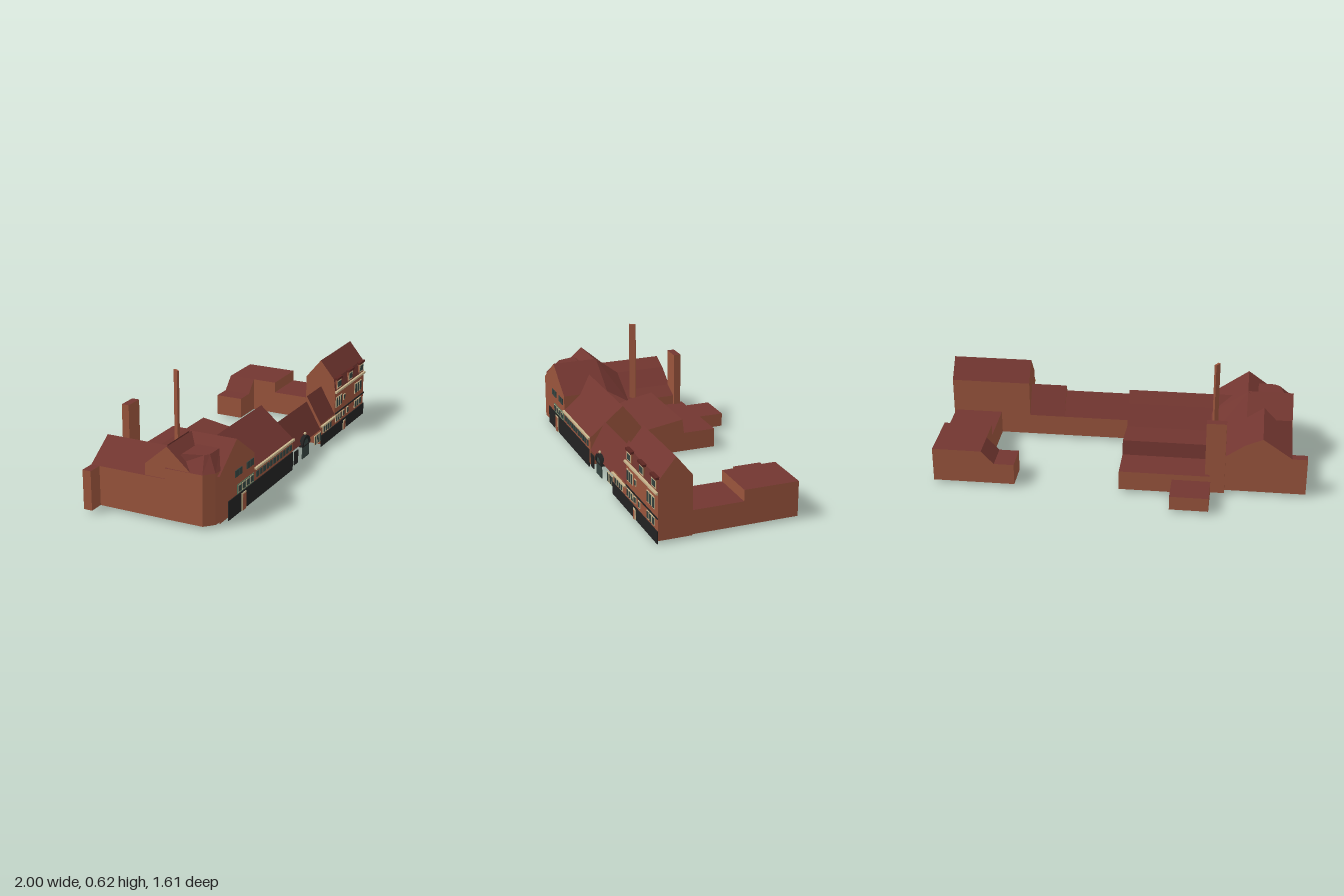
import * as THREE from 'three';

const mat = (name, color) => {
  const m = new THREE.MeshStandardMaterial({ color, side: THREE.DoubleSide });
  m.name = name;
  return m;
};

export function createModel() {
  const brick = mat('brick', 0x99543c), roof = mat('roof tile', 0x723630);
  const black = mat('black plinth', 0x222222), cream = mat('cream trim', 0xc8b48c);
  const green = mat('green frame', 0x54785f), glass = mat('dark glass', 0x35433f);
  const darkRed = mat('dark red trim', 0x5c2622);

  const model = new THREE.Group();
  model.name = 'factoryComplex';
  // Everything is laid out parallel to the street front, then turned
  const site = new THREE.Group();
  site.name = 'site';
  site.rotation.y = 0.59;
  model.add(site);

  const FRONT = 0.385, BASE = 0.015;

  const add = (name, geo, material, parent = site) => {
    const m = new THREE.Mesh(geo, material);
    m.name = name;
    parent.add(m);
    return m;
  };
  const box = (name, x0, x1, y0, y1, z0, z1, material, parent) => {
    const g = new THREE.BoxGeometry(x1 - x0, y1 - y0, z1 - z0);
    g.translate((x0 + x1) / 2, (y0 + y1) / 2, (z0 + z1) / 2);
    return add(name, g, material, parent);
  };
  // Flat-shaded mesh with wall triangles first and roof triangles second
  const shell = (name, walls, roofs) => {
    const g = new THREE.BufferGeometry();
    g.setAttribute('position', new THREE.Float32BufferAttribute([...walls, ...roofs].flat(), 3));
    g.computeVertexNormals();
    g.addGroup(0, walls.length, 0);
    g.addGroup(walls.length, roofs.length, 1);
    return add(name, g, [brick, roof]);
  };
  const quad = (a, b, c, d) => [a, b, c, a, c, d];

  // Open-bottomed building: roof profile [across, height] swept along 'x' or 'z'.
  // Walls named in skip (first, last, start, end) open into a neighbour.
  const building = (name, axis, s0, s1, line, skip = []) => {
    const prof = [[line[0][0], BASE], ...line, [line[line.length - 1][0], BASE]];
    const at = (p, s) => (axis === 'x' ? [s, p[1], p[0]] : [p[0], p[1], s]);
    const walls = [], roofs = [];
    for (let i = 0; i < prof.length - 1; i++) {
      const p = prof[i], q = prof[i + 1];
      if (i === 0 && skip.includes('first')) continue;
      if (i === prof.length - 2 && skip.includes('last')) continue;
      const face = Math.abs(p[0] - q[0]) < 0.001 ? walls : roofs;
      face.push(...quad(at(p, s0), at(p, s1), at(q, s1), at(q, s0)));
    }
    const pts = prof.map(p => new THREE.Vector2(p[0], p[1]));
    for (const [a, b, c] of THREE.ShapeUtils.triangulateShape(pts, [])) {
      if (!skip.includes('start')) walls.push(at(prof[a], s0), at(prof[b], s0), at(prof[c], s0));
      if (!skip.includes('end')) walls.push(at(prof[a], s1), at(prof[c], s1), at(prof[b], s1));
    }
    return shell(name, walls, roofs);
  };

  // Right house, mansard front, with its flat-roofed rear wing
  building('rightHouse', 'x', 0.515, 0.945,
    [[FRONT, 0.26], [0.377, 0.33], [0.295, 0.43], [0.21, 0.325]]);
  building('rearWing', 'x', 0.676, 0.935,
    [[0.21, 0.14], [-0.06, 0.14], [-0.06, 0.2], [-0.35, 0.2]], ['first']);
  building('rearAnnex', 'z', -0.35, -0.197, [[0.676, 0.2], [0.61, 0.13], [0.505, 0.13]], ['first']);

  // Small house and the gate range, open below its front eave
  building('smallHouse', 'x', 0.32, 0.515, [[FRONT, 0.13], [0.3, 0.28], [0.21, 0.13]], ['end']);
  building('gateRange', 'x', -0.05, 0.32, [[FRONT, 0.1], [0.3, 0.25], [0.21, 0.13]],
    ['first', 'start', 'end']);

  // Main hall: front ridge, valley, raised rear roof and low back; then low annex
  building('mainHall', 'x', -0.515, -0.045,
    [[FRONT, 0.17], [0.2, 0.325], [0.15, 0.265], [0.075, 0.165], [-0.145, 0.2], [-0.155, 0.12], [-0.335, 0.12]],
    ['start']);
  building('hallRoofEnd', 'x', -0.61, -0.515, [[FRONT, 0.17], [0.2, 0.325], [0.15, 0.265], [0.075, 0.165]],
    ['first', 'last', 'start', 'end']);
  building('hallAnnex', 'x', -0.52, -0.32, [[-0.335, 0.09], [-0.505, 0.09]], ['first']);

  // Left wing, cross roof and front gable with its hipped rear
  building('leftWing', 'z', -0.282, 0.13,
    [[-0.934, 0.22], [-0.78, 0.325], [-0.69, 0.285], [-0.585, 0.21], [-0.5, 0.17], [-0.5, 0.11]],
    ['last', 'end']);
  building('crossRoof', 'x', -0.932, -0.69, [[0.27, 0.27], [0.14, 0.385], [0.02, 0.28]],
    ['first', 'last', 'end']);
  building('frontGable', 'z', 0.13, FRONT, [[-0.87, 0.255], [-0.69, 0.385], [-0.5, 0.25], [-0.5, 0.15]],
    ['first', 'last', 'start']);
  const hipTop = [-0.69, 0.385, 0.13], hipFoot = [-0.5, 0.17, 0];
  shell('gableRearHip', [], [hipTop, [-0.5, 0.25, 0.13], hipFoot, hipTop, hipFoot, [-0.69, 0.285, 0]]);
  building('leftBackPier', 'x', -1.012, -0.93, [[-0.236, 0.22], [-0.282, 0.22]]);

  // Chamfered corner block with a cut-off hipped roof
  const plan = [[-0.935, 0.13], [-0.932, 0.328], [-0.885, 0.372], [-0.75, 0.384], [-0.7, 0.13]];
  const top = [[-0.89, 0.198], [-0.86, 0.3], [-0.835, 0.317], [-0.74, 0.32], [-0.71, 0.2]];
  const cw = [], cr = [];
  plan.forEach((p, i) => {
    const j = (i + 1) % plan.length, q = plan[j], t = top[i], u = top[j];
    if (i < 3) cw.push(...quad([p[0], BASE, p[1]], [q[0], BASE, q[1]], [q[0], 0.275, q[1]], [p[0], 0.275, p[1]]));
    cr.push(...quad([p[0], 0.275, p[1]], [q[0], 0.275, q[1]], [u[0], 0.345, u[1]], [t[0], 0.345, t[1]]));
    cr.push([t[0], 0.345, t[1]], [u[0], 0.345, u[1]], [-0.8, 0.345, 0.26]);
  });
  shell('cornerBlock', cw, cr);

  // Stair tower and slim chimney
  building('stairTower', 'x', -0.592, -0.49, [[-0.275, 0.418], [-0.315, 0.418]]);
  const chimney = add('chimney', new THREE.BoxGeometry(0.012, 0.605, 0.036), brick);
  chimney.position.set(-0.525, 0.3175, -0.035);
  chimney.rotation.y = -0.59;

  // Painted front details as thin plates; rows of count plates fill x0..x1
  const plate = (name, x0, x1, y0, y1, material, out = 0.004) =>
    box(name, x0, x1, y0, y1, FRONT + out - 0.004, FRONT + out, material);
  const windows = (name, x0, x1, y0, y1, count, frame, gap = 0.006) => {
    const w = (x1 - x0 + gap) / count, f = 0.0045;
    for (let i = 0; i < count; i++) {
      const a = x0 + i * w, b = a + w - gap;
      if (frame) plate(name + 'Frame', a - f, b + f, y0 - f, y1 + f, frame, 0.004);
      plate(name, a, b, y0, y1, glass, 0.006);
    }
  };
  const door = (x0, x1, h) => {
    plate('doorFrame', x0, x1, 0, h, cream, 0.009);
    plate('door', x0 + 0.008, x1 - 0.008, 0, h - 0.008, brick, 0.011);
  };
  const cornice = (name, x0, x1, y0, y1) => box(name, x0, x1, y0, y1, FRONT, FRONT + 0.012, cream);

  // Plinths
  plate('leftPlinth', -0.787, -0.055, 0, 0.1, black, 0.006);
  plate('rightPlinth', 0.32, 0.945, 0, 0.065, black, 0.006);

  // Gable front
  windows('gableWindow', -0.715, -0.642, 0.195, 0.23, 2, null, 0.005);
  windows('gableWindow', -0.59, -0.518, 0.195, 0.23, 2, null, 0.005);
  plate('shopFrontBand', -0.69, -0.512, 0.1, 0.148, green, 0.003);
  windows('shopWindow', -0.68, -0.522, 0.11, 0.14, 4, cream, 0.016);
  door(-0.652, -0.603, 0.092);

  // Hall front
  cornice('hallCornice', -0.5, -0.045, 0.16, 0.171);
  windows('hallWindow', -0.485, -0.07, 0.115, 0.145, 11, null, 0.014);

  // Gate range: side door, arched gate with crest, and windows
  plate('sideDoor', -0.03, 0.018, BASE, 0.088, black);
  const arch = new THREE.Shape();
  arch.absarc(0, 0, 0.052, 0, Math.PI, false);
  arch.absarc(0, 0, 0.036, Math.PI, 0, true);
  arch.closePath();
  add('gateArch', new THREE.ExtrudeGeometry(arch, { depth: 0.02, bevelEnabled: false, curveSegments: 12 }), black)
    .position.set(0.11, 0.085, FRONT - 0.01);
  add('gateFanlight', new THREE.CircleGeometry(0.037, 12, 0, Math.PI), glass)
    .position.set(0.11, 0.085, FRONT + 0.004);
  plate('gateLeaves', 0.068, 0.152, BASE, 0.08, glass, 0.006);
  plate('gateRail', 0.068, 0.152, 0.08, 0.086, black, 0.008);
  const crest = add('gateCrest', new THREE.SphereGeometry(0.008, 8, 6), cream);
  crest.position.set(0.11, 0.147, FRONT);
  windows('gateWindow', 0.238, 0.315, 0.04, 0.085, 4, cream, 0.011);

  // Small house front
  cornice('smallHouseCornice', 0.32, 0.515, 0.113, 0.121);
  windows('smallHouseWindow', 0.355, 0.46, 0.074, 0.106, 4, cream, 0.012);

  // Right house front
  plate('stringCourse', 0.515, 0.945, 0.126, 0.133, black, 0.006);
  cornice('rightCornice', 0.512, 0.945, 0.25, 0.261);
  for (const [x0, x1] of [[0.533, 0.608], [0.81, 0.9]]) {
    windows('lowerWindow', x0, x1, 0.08, 0.114, 3, cream, 0.014);
    windows('upperWindow', x0, x1, 0.166, 0.217, 3, cream, 0.014);
  }
  windows('middleWindow', 0.638, 0.654, 0.18, 0.205, 1, cream);
  windows('lowerMiddleWindow', 0.632, 0.71, 0.085, 0.112, 2, cream, 0.04);
  door(0.628, 0.662, 0.055);

  // Dormers in the mansard
  for (const x of [0.565, 0.733, 0.897]) {
    const d = new THREE.Group();
    d.name = 'dormer';
    site.add(d);
    box('dormerBody', x - 0.033, x + 0.033, 0.268, 0.322, 0.34, 0.388, brick, d);
    box('dormerRoof', x - 0.038, x + 0.038, 0.322, 0.334, 0.335, 0.395, darkRed, d);
    box('dormerFrame', x - 0.028, x + 0.028, 0.272, 0.318, 0.386, 0.39, cream, d);
    box('dormerGlass', x - 0.021, x + 0.021, 0.28, 0.31, 0.388, 0.392, glass, d);
  }
  return model;
}
